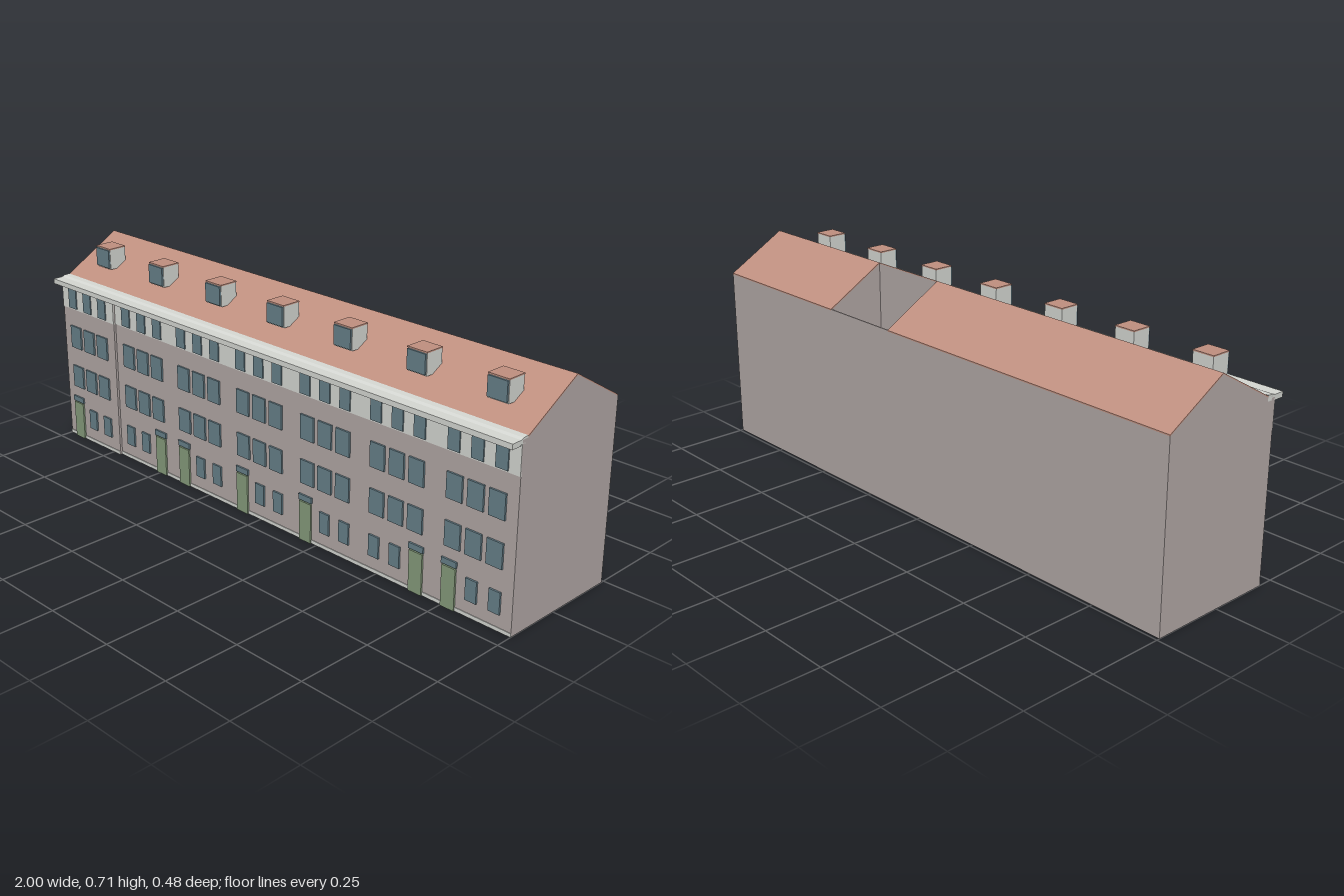
import * as THREE from 'three';

function mat(name, color) {
  const m = new THREE.MeshStandardMaterial({ color });
  m.name = name;
  return m;
}

export function createModel() {
  const wall = mat('wall grey', 0xb2a8a6);
  const roof = mat('roof clay', 0xc09080);
  const trim = mat('trim off white', 0xd6d8d3);
  const glass = mat('window blue grey', 0x67808a);
  const green = mat('door green', 0x869c7c);

  const model = new THREE.Group();
  model.name = 'terraceBuilding';

  function add(name, geometry, material, parent = model) {
    const mesh = new THREE.Mesh(geometry, material);
    mesh.name = name;
    parent.add(mesh);
    return mesh;
  }
  // Box given by its limits
  function box(name, x0, x1, y0, y1, z0, z1, material, parent) {
    const g = new THREE.BoxGeometry(x1 - x0, y1 - y0, z1 - z0);
    g.translate((x0 + x1) / 2, (y0 + y1) / 2, (z0 + z1) / 2);
    return add(name, g, material, parent);
  }
  // Profile of [z, y] points drawn out along x
  function prism(name, x0, x1, points, material) {
    const shape = new THREE.Shape(points.map(([z, y]) => new THREE.Vector2(-z, y)));
    const g = new THREE.ExtrudeGeometry(shape, { depth: x1 - x0, bevelEnabled: false });
    g.rotateY(Math.PI / 2);
    g.translate(x0, 0, 0);
    return add(name, g, material);
  }

  const back = -0.24, front = 0.192, ridgeZ = -0.035, ridgeY = 0.713, eave = 0.595;
  const skin = 0.004;                 // roof sheet thickness
  const wellL = 0.14, wellR = 0.43;   // light well open through the rear roof
  const stepX = -0.715, stepZ = 0.2;  // end section stands slightly forward

  // Gabled body, with only its front half beside the light well
  const frontHalf = [[front, 0], [front, eave - skin], [0.17, eave - skin], [ridgeZ, ridgeY - skin]];
  const full = [...frontHalf, [back, eave - skin], [back, 0]];
  prism('bodyMain', -1, wellL, full, wall);
  prism('bodyEnd', wellR, 1, full, wall);
  prism('bodyBesideWell', wellL, wellR, [...frontHalf, [ridgeZ, 0]], wall);
  box('wellRearWall', wellL, wellR, 0, eave, back, back + 0.004, wall);
  box('wellFloor', wellL, wellR, 0, 0.01, back, ridgeZ, wall);
  box('projectingFacade', -1, stepX, 0, 0.585, front - 0.01, stepZ, wall);

  // Roof sheets
  prism('frontRoof', -1, 1,
    [[ridgeZ, ridgeY], [ridgeZ, ridgeY - skin], [0.17, eave - skin], [0.17, eave]], roof);
  const rear = [[ridgeZ, ridgeY], [ridgeZ, ridgeY - skin], [back, eave - skin], [back, eave]];
  prism('rearRoofMain', -1, wellL, rear, roof);
  prism('rearRoofEnd', wellR, 1, rear, roof);

  // Eaves cornice in two steps
  prism('cornice', -1, 1,
    [[0.17, 0.578], [0.2, 0.578], [0.2, 0.575], [0.236, 0.575], [0.236, 0.592],
      [0.2, 0.592], [0.19, 0.596], [0.17, 0.597]], trim);

  // Pale upper storey and plinth on both facade sections
  for (const [x0, x1, z] of [[-1, stepX, stepZ], [stepX, 1, front]]) {
    box('upperBand', x0, x1, 0.485, 0.58, z - 0.002, z + 0.002, trim);
    box('plinth', x0, x1, 0, 0.012, z - 0.002, z + 0.002, trim);
  }

  // Seven bays of windows and doors
  const doorSides = [-1, 1, -1, -1, -1, 1, -1];
  doorSides.forEach((doorSide, i) => {
    const cx = (i - 3) * 0.286;
    const z = i === 0 ? stepZ : front;
    const bay = new THREE.Group();
    bay.name = 'bay' + (i + 1);
    model.add(bay);
    const plate = (name, x, w, y0, y1, m) =>
      box(name, x - w / 2, x + w / 2, y0, y1, z - 0.001, z + 0.006, m, bay);
    for (const k of [-1, 0, 1]) {
      plate('topWindow', cx + k * 0.082, 0.042, 0.49, 0.563, glass);
      plate('secondFloorWindow', cx + k * 0.074, 0.056, 0.343, 0.423, glass);
      plate('firstFloorWindow', cx + k * 0.074, 0.056, 0.195, 0.274, glass);
      const x = cx + k * 0.082;
      if (k === doorSide) {
        plate('door', x, 0.05, 0, 0.133, green);
        plate('doorTransom', x, 0.055, 0.137, 0.156, glass);
      } else {
        plate('groundWindow', x, 0.04, 0.054, 0.124, glass);
      }
    }

    // Box dormer on the front slope
    const dormer = new THREE.Group();
    dormer.name = 'dormer' + (i + 1);
    model.add(dormer);
    box('dormerBody', cx - 0.036, cx + 0.036, 0.638, 0.707, 0.056, 0.12, trim, dormer);
    box('dormerRoof', cx - 0.037, cx + 0.037, 0.707, 0.711, 0.055, 0.122, roof, dormer);
    box('dormerWindow', cx - 0.034, cx + 0.034, 0.643, 0.705, 0.119, 0.126, glass, dormer);
  });

  return model;
}
